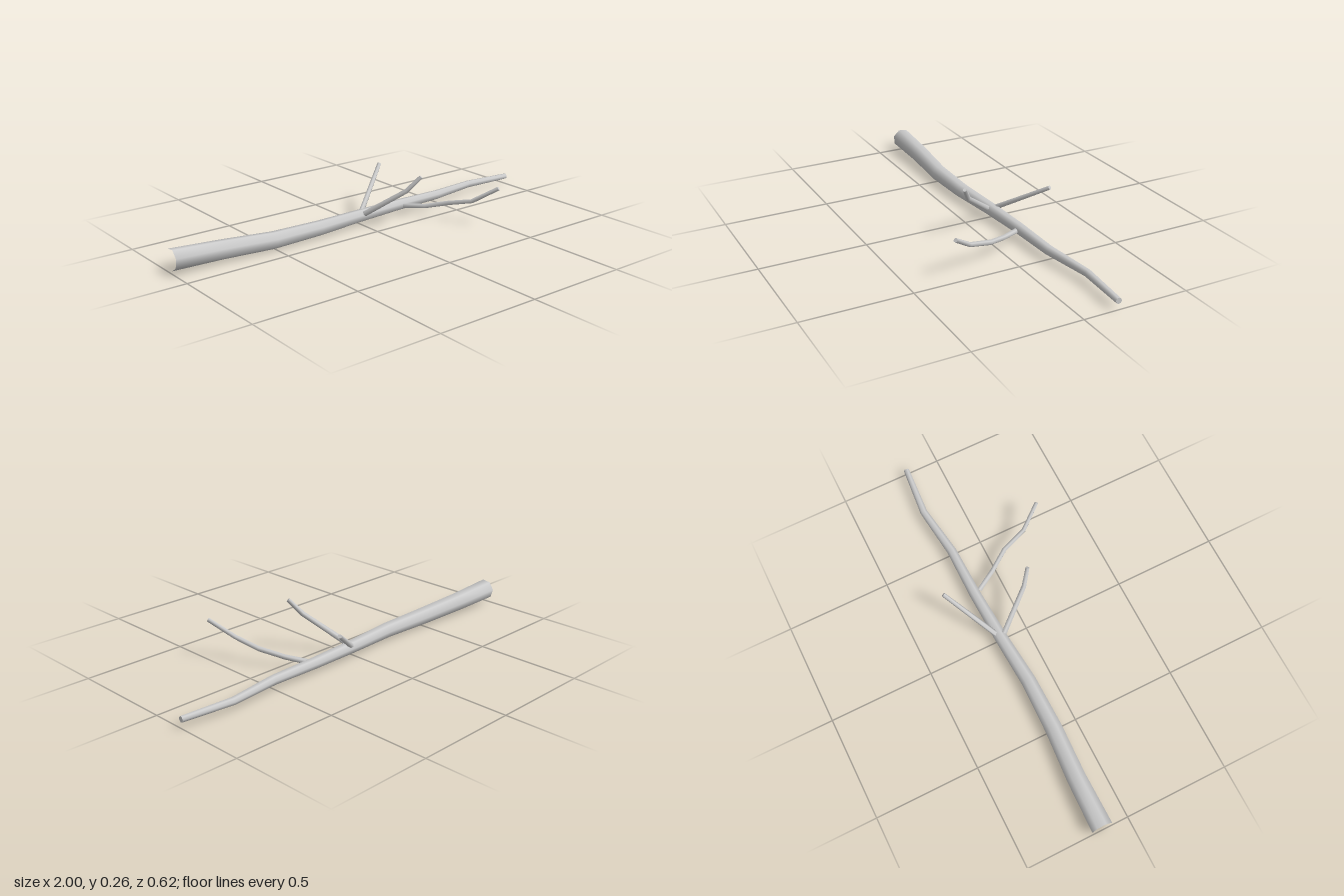
import * as THREE from 'three';
import { toCreasedNormals } from 'three/addons/utils/BufferGeometryUtils.js';

const material = new THREE.MeshStandardMaterial({ color: 0xcccccc });

// Tapered tube through [x, y, z, radius] stations: open at the base, capped at the tip
function limb(name, stations, sides, phase) {
  const points = stations.map(([x, y, z]) => new THREE.Vector3(x, y, z));
  const last = points.length - 1;
  const positions = [];
  const index = [];

  points.forEach((p, i) => {
    const before = points[Math.max(i - 1, 0)];
    const after = points[Math.min(i + 1, last)];
    const along = after.clone().sub(before).normalize();
    const up = new THREE.Vector3(0, 1, 0).addScaledVector(along, -along.y).normalize();
    const side = along.clone().cross(up);
    for (let j = 0; j < sides; j++) {
      const a = phase + (j / sides) * Math.PI * 2;
      const v = p.clone()
        .addScaledVector(side, Math.cos(a) * stations[i][3])
        .addScaledVector(up, Math.sin(a) * stations[i][3]);
      positions.push(v.x, v.y, v.z);
    }
  });

  // Walls
  for (let i = 0; i < last; i++) {
    for (let j = 0; j < sides; j++) {
      const k = (j + 1) % sides;
      const a = i * sides + j, b = i * sides + k;
      index.push(a, a + sides, b, b, a + sides, b + sides);
    }
  }

  // Tip cap
  const centre = positions.length / 3;
  positions.push(...points[last].toArray());
  for (let j = 0; j < sides; j++) {
    index.push(centre, last * sides + ((j + 1) % sides), last * sides + j);
  }

  const geometry = new THREE.BufferGeometry();
  geometry.setAttribute('position', new THREE.Float32BufferAttribute(positions, 3));
  geometry.setIndex(index);
  const mesh = new THREE.Mesh(toCreasedNormals(geometry, Math.PI / 2.6), material);
  mesh.name = name;
  return mesh;
}

export function createModel() {
  const group = new THREE.Group();
  group.name = 'branch';

  // Long main stem, thick at the left end of the x axis
  group.add(limb('mainStem', [
    [-1, 0.068, -0.132, 0.05],
    [-0.75, 0.057, -0.129, 0.045],
    [-0.5, 0.045, -0.114, 0.041],
    [-0.25, 0.046, -0.114, 0.036],
    [0, 0.046, -0.134, 0.031],
    [0.25, 0.046, -0.147, 0.027],
    [0.5, 0.046, -0.15, 0.023],
    [0.75, 0.045, -0.183, 0.018],
    [1, 0.045, -0.163, 0.014],
  ], 7, THREE.MathUtils.degToRad(71)));

  // Three side twigs
  group.add(limb('frontTwig', [
    [0.01, 0.06, -0.11, 0.014],
    [0.13, 0.19, 0.053, 0.012],
    [0.18, 0.26, 0.097, 0.01],
  ], 6, 0.3));

  group.add(limb('backTwig', [
    [0.02, 0.06, -0.148, 0.013],
    [0.25, 0.218, -0.301, 0.01],
  ], 6, 0.3));

  group.add(limb('longTwig', [
    [0.26, 0.045, -0.12, 0.013],
    [0.315, 0.057, -0.025, 0.012],
    [0.38, 0.086, 0.075, 0.012],
    [0.415, 0.118, 0.195, 0.011],
    [0.485, 0.193, 0.299, 0.01],
  ], 6, 0.3));

  return group;
}
